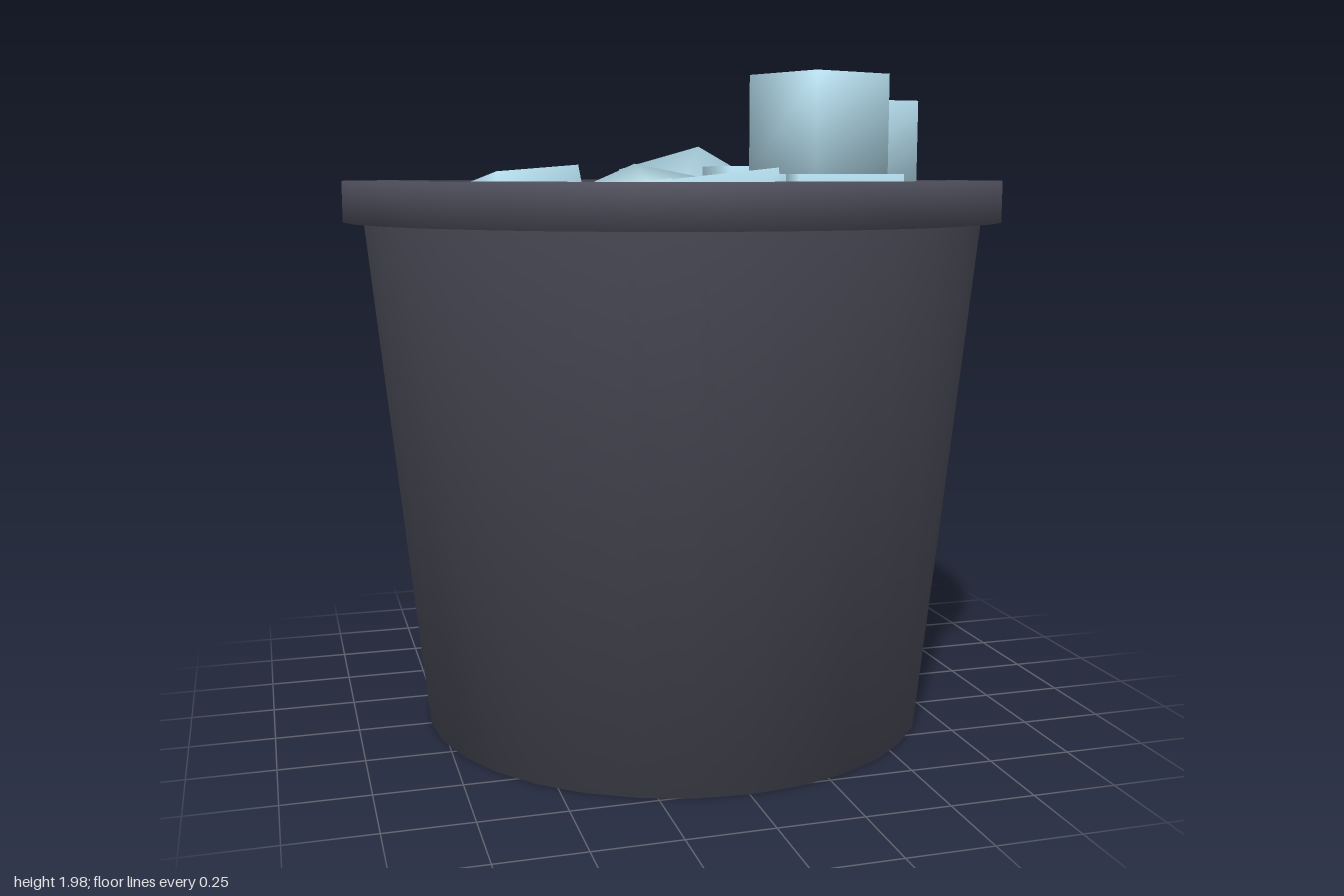
import * as THREE from 'three';
import { mergeVertices } from 'three/addons/utils/BufferGeometryUtils.js';

const SIDES = 32;
const DEG = Math.PI / 180;

// Box with shared corners, so the shading flows softly across the faces
function softBox(size) {
  const g = new THREE.BoxGeometry(size, size, size);
  g.deleteAttribute('normal');
  g.deleteAttribute('uv');
  const merged = mergeVertices(g);
  merged.computeVertexNormals();
  return merged;
}

// Lathe from [radius, height] pairs
function lathe(name, profile, material) {
  const points = profile.map(([r, y]) => new THREE.Vector2(r, y));
  const mesh = new THREE.Mesh(new THREE.LatheGeometry(points, SIDES), material);
  mesh.name = name;
  return mesh;
}

// Ice cubes: x, y, z of the centre, size, yaw, tilt about x, tilt about z (degrees)
const upperIce = [
  [0.37, 1.835, 0.28, 0.29, 22, 0, 0],
  [0.63, 1.77, -0.08, 0.3, 7, 0, 0],
  [0.43, 1.54, 0.33, 0.3, -13, 0, 0],
  [0.32, 1.58, -0.14, 0.27, 3, 0, 0],
  [-0.02, 1.56, -0.25, 0.24, 45, 10, 14],
  [0.2, 1.54, -0.53, 0.33, 20, 20, 15],
  [-0.41, 1.52, -0.38, 0.32, 24, -12, 4],
  [0.05, 1.52, 0.32, 0.31, -3, -7, 6],
  [-0.26, 1.48, 0.38, 0.31, -10, -10, 8],
  [-0.25, 1.45, 0.04, 0.33, -5, 4, 15],
  [-0.61, 1.47, -0.02, 0.29, -2, 3, -13],
];
const lowerIce = [
  [-0.52, 1.38, 0.3, 0.29, -12, 0, 0],
  [0.08, 1.42, 0.05, 0.27, -9, 0, 5],
  [0.34, 1.4, 0.13, 0.28, -2, 0, 0],
  [0.62, 1.38, 0.34, 0.26, -27, 0, 0],
  [0.27, 1.36, 0.57, 0.27, 20, 0, 0],
  [-0.07, 1.36, 0.61, 0.25, -36, 0, 0],
  [-0.08, 1.38, -0.6, 0.27, -8, 0, 0],
  [-0.05, 1.36, -0.25, 0.29, -1, 0, 0],
  [0.59, 1.42, -0.04, 0.28, -17, 0, 0],
  [0.29, 1.35, -0.46, 0.28, -10, 0, 0],
];

function iceLayer(name, cubes, material) {
  const layer = new THREE.Group();
  layer.name = name;
  cubes.forEach(([x, y, z, size, yaw, tiltX, tiltZ]) => {
    const cube = new THREE.Mesh(softBox(size), material);
    cube.name = 'iceCube';
    cube.position.set(x, y, z);
    cube.rotation.set(tiltX * DEG, yaw * DEG, tiltZ * DEG, 'YXZ');
    layer.add(cube);
  });
  return layer;
}

export function createModel() {
  const model = new THREE.Group();
  model.name = 'iceBucket';
  const plastic = new THREE.MeshStandardMaterial({ color: 0x4a4a57 });
  const ice = new THREE.MeshStandardMaterial({ color: 0xb4dcec });

  // Tapered outer wall with closed base
  model.add(lathe('bucketWall', [[0, 0], [0.78, 0], [0.94, 1.55]], plastic));
  // Overhanging rim
  model.add(lathe('rim', [[0.93, 1.55], [1, 1.55], [1, 1.67], [0.835, 1.67]], plastic));
  // Inner wall and floor under the ice
  model.add(lathe('bucketInside', [[0.835, 1.67], [0.82, 1.22], [0, 1.22]], plastic));

  // Heaped ice
  model.add(iceLayer('lowerIce', lowerIce, ice));
  model.add(iceLayer('upperIce', upperIce, ice));
  return model;
}
